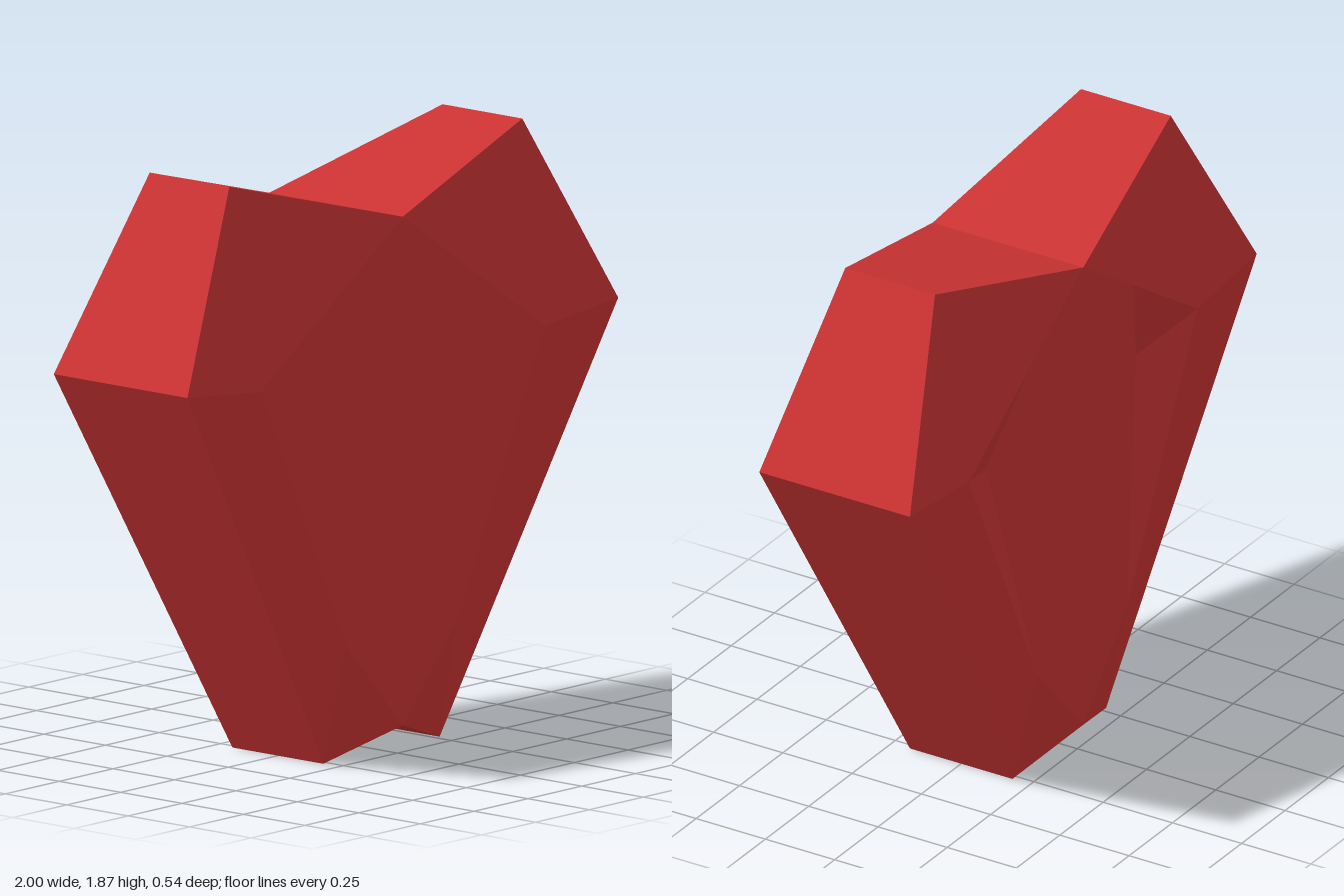
import * as THREE from 'three';

// Corner points of the right half, front side; the rest is mirrored
const P = {
  notch: [0, 1.68, 0.272],
  lobe: [0.68, 1.865, 0.162],
  side: [1, 1.27, 0.272],
  foot: [0.27, 0, 0.185],
  tip: [0, 0.09, 0.272],
  shoulder: [0.66, 1.235, 0.272],
  hip: [0.26, 0.38, 0.268],
  pitTop: [0.285, 1.489, 0.272],
  pitDeep: [0.434, 1.155, 0.19],
};

// A name may end in '-' for the corner mirrored through z
function corner(name, sx, sz) {
  const back = name.endsWith('-');
  const [x, y, z] = P[back ? name.slice(0, -1) : name];
  return new THREE.Vector3(x * sx, y, z * sz * (back ? -1 : 1));
}

// Builds flat facets, each with one normal, fanned from its first corner
function facets(name, faces, sides, material) {
  const pos = [], nor = [];
  for (const [sx, sz] of sides) {
    for (const face of faces) {
      const pts = face.map((n) => corner(n, sx, sz));
      if (sx * sz < 0) pts.reverse().unshift(pts.pop());
      const n = new THREE.Vector3();
      pts.forEach((p, i) => n.add(p.clone().cross(pts[(i + 1) % pts.length])));
      n.normalize();
      for (let i = 1; i < pts.length - 1; i++) {
        for (const p of [pts[0], pts[i], pts[i + 1]]) {
          pos.push(p.x, p.y, p.z);
          nor.push(n.x, n.y, n.z);
        }
      }
    }
  }
  const g = new THREE.BufferGeometry();
  g.setAttribute('position', new THREE.Float32BufferAttribute(pos, 3));
  g.setAttribute('normal', new THREE.Float32BufferAttribute(nor, 3));
  const mesh = new THREE.Mesh(g, material);
  mesh.name = name;
  return mesh;
}

export function createModel() {
  const group = new THREE.Group();
  group.name = 'heartGem';
  const red = new THREE.MeshStandardMaterial({ color: 0xcc3333 });
  const front = [[1, 1], [-1, 1]];
  const back = [[1, -1], [-1, -1]];

  group.add(
    // Sloping facets around the front and back tables
    facets('bevelFacets', [
      ['shoulder', 'side', 'lobe', 'notch'],
      ['side', 'shoulder', 'hip', 'foot'],
      ['tip', 'foot', 'hip'],
    ], [...front, ...back], red),
    // Outer rim running from front to back
    facets('rim', [
      ['notch', 'lobe', 'lobe-', 'notch-'],
      ['lobe', 'side', 'side-', 'lobe-'],
      ['side', 'foot', 'foot-', 'side-'],
      ['foot', 'tip', 'tip-', 'foot-'],
    ], front, red),
    // Plain table on the front
    facets('frontTable', [['notch', 'tip', 'hip', 'shoulder']], front, red),
    // Narrower table on the back, between two pits
    facets('backTable', [['notch', 'tip', 'hip', 'pitTop']], back, red),
    facets('backPits', [
      ['pitTop', 'pitDeep', 'shoulder'],
      ['shoulder', 'pitDeep', 'hip'],
      ['hip', 'pitDeep', 'pitTop'],
    ], back, red),
  );
  return group;
}
